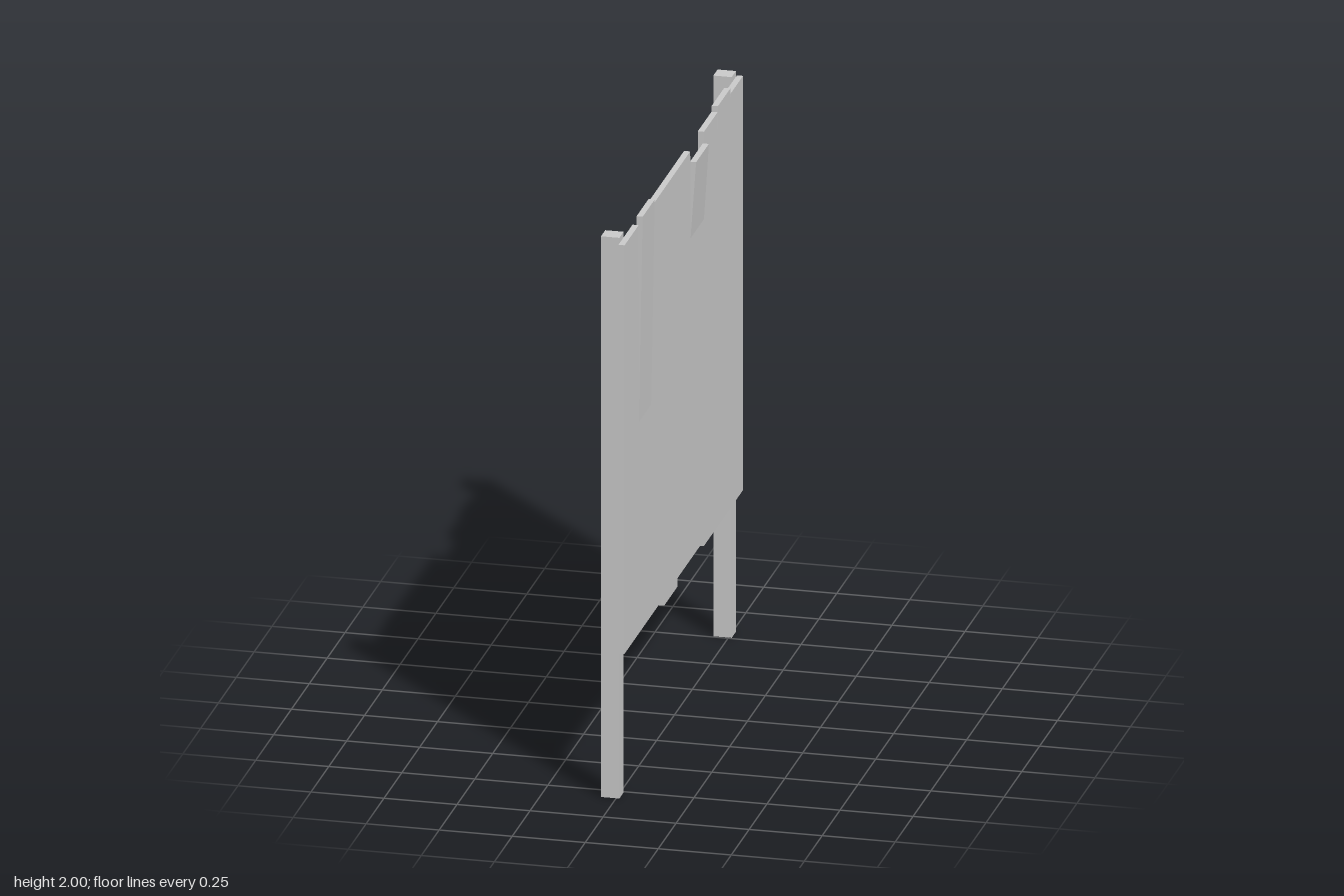
import * as THREE from 'three';

const material = new THREE.MeshStandardMaterial({ color: 0xcccccc, flatShading: true });

function add(group, name, geometry) {
  const mesh = new THREE.Mesh(geometry, material);
  mesh.name = name;
  group.add(mesh);
}

// Box given by its lower and upper corners
function box(group, name, [x0, y0, z0], [x1, y1, z1]) {
  const geometry = new THREE.BoxGeometry(x1 - x0, y1 - y0, z1 - z0);
  geometry.translate((x0 + x1) / 2, (y0 + y1) / 2, (z0 + z1) / 2);
  add(group, name, geometry);
}

// Flat sheet facing +x; outline points are [-z, y].
// Above y = base it leans outwards, reaching "lean" at y = top.
function sheet(group, name, outline, base = 0, top = 1, lean = 0) {
  const shape = new THREE.Shape(outline.map(([u, y]) => new THREE.Vector2(u, y)));
  const geometry = new THREE.ExtrudeGeometry(shape, { depth: 0.021, bevelEnabled: false });
  const p = geometry.attributes.position;
  for (let i = 0; i < p.count; i++) {
    p.setZ(i, p.getZ(i) + lean * Math.max(0, (p.getY(i) - base) / (top - base)));
  }
  geometry.rotateY(Math.PI / 2);
  geometry.translate(0.011, 0, 0);
  geometry.computeVertexNormals();
  add(group, name, geometry);
}

export function createModel() {
  const group = new THREE.Group();

  // Two square posts
  for (const side of [-1, 1]) {
    const z = side * 0.787;
    box(group, side > 0 ? 'frontPost' : 'backPost', [-0.052, 0, z - 0.03], [0.011, 1.99, z + 0.03]);
  }

  // Two rails between the posts
  for (const [name, y] of [['lowerRail', 0.795], ['upperRail', 1.61]]) {
    box(group, name, [-0.05, y, -0.757], [0.011, y + 0.042, 0.757]);
  }

  // Main board: uneven plank ends, thin splits, and notches for the loose planks
  sheet(group, 'board', [
    [-0.83, 0.52], [-0.275, 0.52], [-0.275, 0.49], [-0.085, 0.49], [-0.085, 0.52],
    [0.28, 0.52], [0.28, 0.5], [0.83, 0.5], [0.83, 1.97],
    [0.658, 1.97], [0.655, 1.9], [0.653, 1.99],
    [0.477, 1.99], [0.475, 1.89], [0.473, 1.97],
    [0.282, 1.97], [0.282, 1.66], [0.095, 1.66], [0.09, 1.97],
    [-0.455, 1.97], [-0.457, 1.27], [-0.63, 1.27], [-0.632, 1.97], [-0.83, 1.97],
  ]);

  // Loose planks leaning away from the board
  sheet(group, 'tallLoosePlank', [
    [-0.63, 1.27], [-0.457, 1.27], [-0.457, 1.52], [-0.461, 2], [-0.629, 2], [-0.63, 1.78],
  ], 1.27, 2, 0.013);
  sheet(group, 'shortLoosePlank', [
    [0.095, 1.66], [0.282, 1.66], [0.282, 1.72], [0.278, 1.93], [0.099, 1.93], [0.095, 1.7],
  ], 1.66, 1.93, 0.018);

  return group;
}
